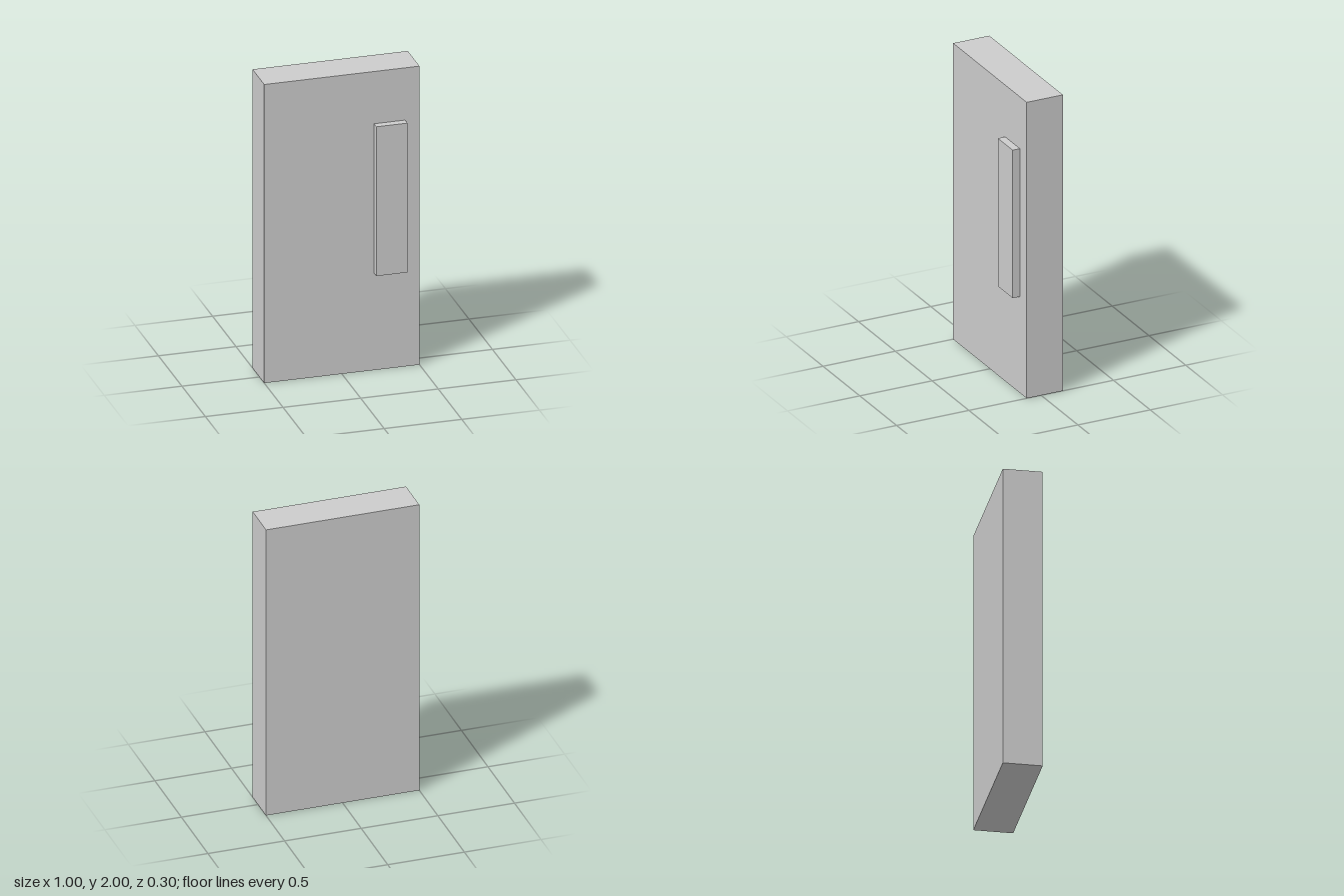
import * as THREE from 'three';

const material = new THREE.MeshStandardMaterial({ color: 0xcccccc, flatShading: true });

// Box given by its size and centre
function box(name, size, centre) {
  const mesh = new THREE.Mesh(new THREE.BoxGeometry(...size), material);
  mesh.name = name;
  mesh.position.set(...centre);
  return mesh;
}

export function createModel() {
  const group = new THREE.Group();
  group.name = 'door';

  // Main slab
  group.add(box('doorPanel', [1, 2, 0.25], [0, 1, -0.025]));

  // Raised handle plate on the front face
  group.add(box('handle', [0.2, 1, 0.05], [0.307, 1.15, 0.125]));

  return group;
}
